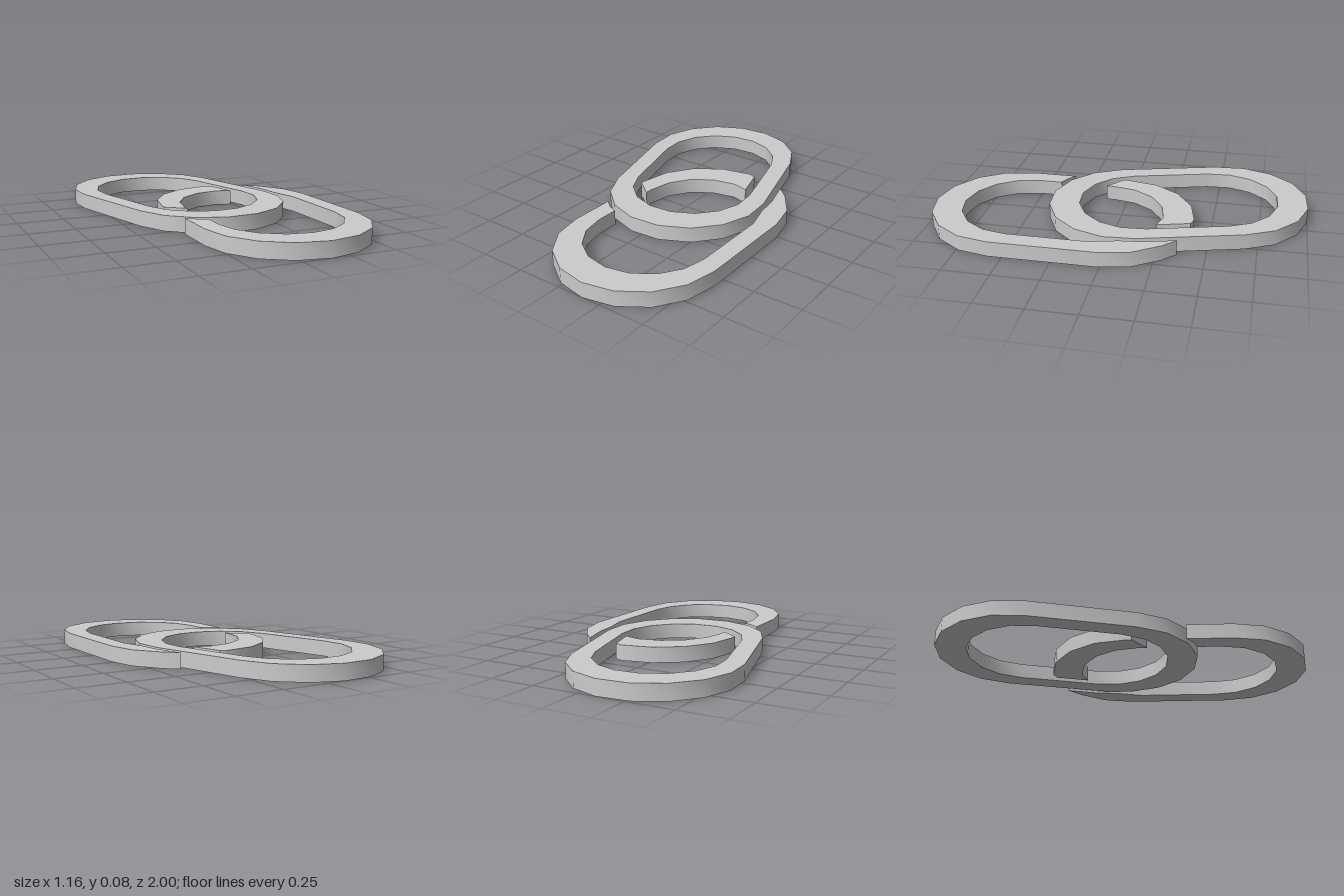
import * as THREE from 'three';
import { toCreasedNormals } from 'three/addons/utils/BufferGeometryUtils.js';

const HEIGHT = 0.082;
const STEP = Math.PI / 8;
const OUTER = { r: 0.43, half: 0.278 };
const INNER = { r: 0.33, half: 0.215 };
const UPRIGHT = { x: 0.149, z: 0.293 };

// Points of one round end of a link, in plan (x, z); dir +1 is the front end,
// -1 the back end. Steps 0..8 run from the +x side to the -x side.
function endArc({ r, half }, dir, from = 0, to = 8, c = { x: 0, z: 0 }) {
  const pts = [];
  const s = Math.sign(to - from);
  for (let i = from; i !== to + s; i += s) {
    pts.push([c.x + r * Math.cos(i * STEP), c.z + dir * (half + r * Math.sin(i * STEP))]);
  }
  return pts;
}

// Plan points to shape points, turned to run counter-clockwise
function toVectors(pts) {
  const vectors = pts.map(([x, z]) => new THREE.Vector2(x, -z));
  return THREE.ShapeUtils.isClockWise(vectors) ? vectors.reverse() : vectors;
}

// Stand a plan outline up from the ground as a flat bar
function bar(name, outline, hole) {
  const shape = new THREE.Shape(toVectors(outline));
  if (hole) shape.holes.push(new THREE.Path(toVectors(hole)));
  const geo = new THREE.ExtrudeGeometry(shape, { depth: HEIGHT, bevelEnabled: false });
  geo.rotateX(-Math.PI / 2);
  const mesh = new THREE.Mesh(
    toCreasedNormals(geo, 0.55),
    new THREE.MeshStandardMaterial({ color: 0xcccccc })
  );
  mesh.name = name;
  return mesh;
}

export function createModel() {
  const group = new THREE.Group();
  group.name = 'chainLinks';

  // Complete link, tilted
  const loop = (ring) => [...endArc(ring, 1), ...endArc(ring, -1, 8, 0)];
  const whole = bar('wholeLink', loop(OUTER), loop(INNER));
  whole.position.set(-0.082, 0, -0.305);
  whole.rotation.y = Math.PI / 12;
  group.add(whole);

  // Long piece of the interrupted link, cut to leave a gap beside the whole link
  group.add(bar('openLinkFront', [
    [-0.281, 0.325], ...endArc(OUTER, 1, 8, 0, UPRIGHT),
    ...endArc(OUTER, -1, 0, 2, UPRIGHT),
    [0.385, -0.355], [0.43, -0.185], [0.442, -0.07], [0.479, 0.078],
    ...endArc(INNER, 1, 0, 8, UPRIGHT),
    [-0.181, 0.385], [-0.23, 0.365],
  ]));

  // Short piece of the interrupted link, inside the whole link
  group.add(bar('openLinkBack', [
    [-0.281, 0.042], ...endArc(OUTER, -1, 8, 4, UPRIGHT),
    [0.19, -0.40], [0.238, -0.228],
    ...endArc(INNER, -1, 4, 8, UPRIGHT),
    [-0.181, 0.12], [-0.243, 0.07],
  ]));

  return group;
}
